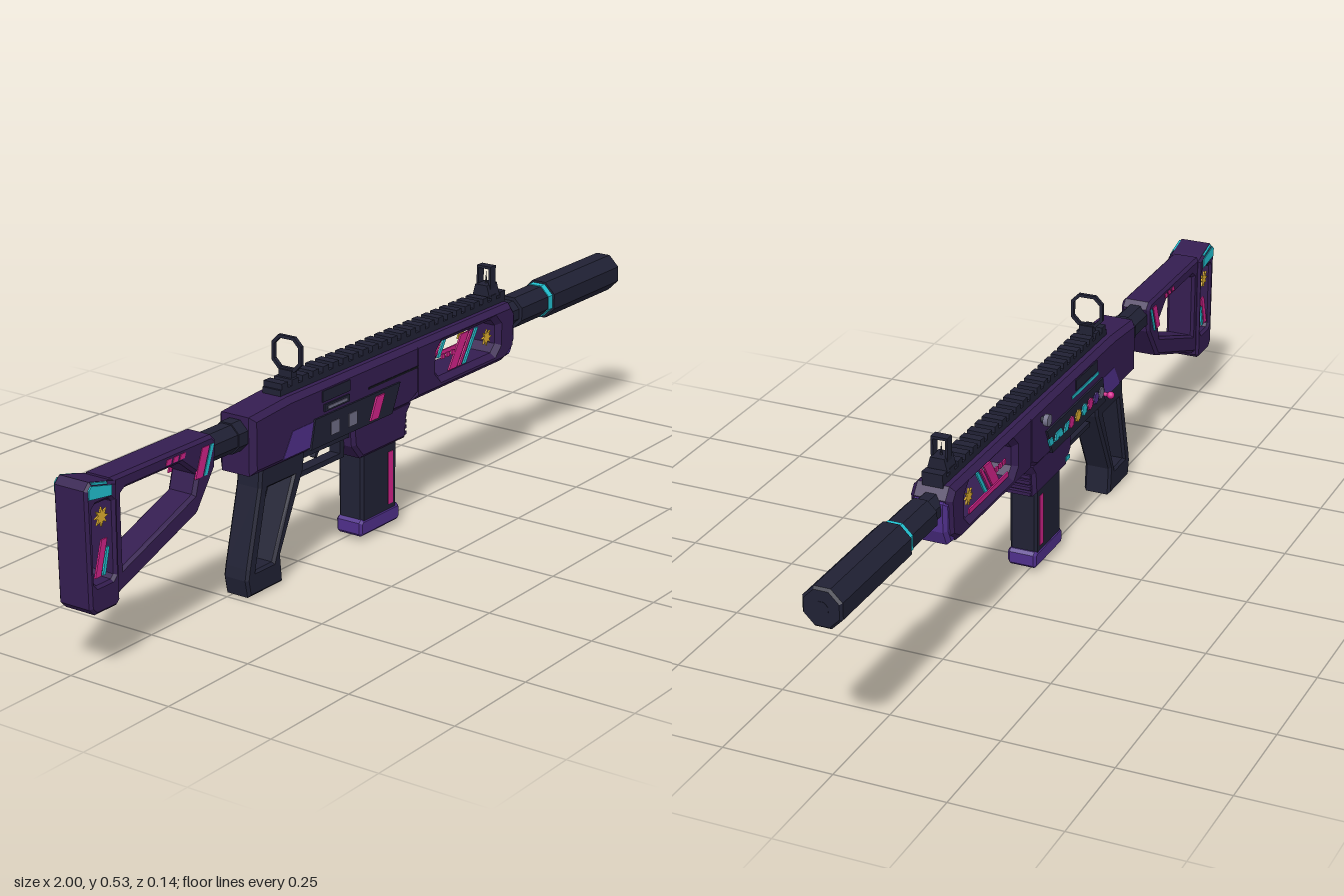
import * as THREE from 'three';

const mat = (name, color) => Object.assign(new THREE.MeshStandardMaterial({ color }), { name });

export function createModel() {
  const charcoal = mat('charcoal', 0x202134), black = mat('black', 0x12121b);
  const purple = mat('dark purple', 0x341d50), violet = mat('violet', 0x4f2f8a);
  const magenta = mat('magenta', 0xd2228a), teal = mat('teal', 0x22c2d2);
  const gold = mat('gold', 0xe0b030), grey = mat('grey', 0x6f6d86);

  const root = new THREE.Group();
  root.name = 'rifle';
  const model = new THREE.Group();
  model.name = 'body';
  model.position.z = 0.0125;
  root.add(model);

  const add = (name, geo, m, x = 0, y = 0, z = 0) => {
    const mesh = new THREE.Mesh(geo, m);
    mesh.name = name;
    mesh.position.set(x, y, z);
    model.add(mesh);
    return mesh;
  };
  // Counter-clockwise corner list, so that walls and holes face the right way
  const outline = (pts) => {
    const v = pts.map(([x, y]) => new THREE.Vector2(x, y));
    return THREE.ShapeUtils.isClockWise(v) ? v.reverse() : v;
  };
  const extrude = (pts, depth, bevel = 0, holes = []) => {
    const shape = new THREE.Shape(outline(pts));
    holes.forEach((h) => shape.holes.push(new THREE.Path(outline(h))));
    const g = new THREE.ExtrudeGeometry(shape, {
      depth: depth - 2 * bevel, bevelEnabled: bevel > 0, bevelSize: bevel,
      bevelThickness: bevel, bevelOffset: -bevel, bevelSegments: 1,
    });
    return g.translate(0, 0, bevel - depth / 2);
  };
  // Side profile of the given half width, chamfered
  const slab = (name, m, pts, half, bevel, holes) => add(name, extrude(pts, half * 2, bevel, holes), m);
  // Thin plate on the sides listed (+1 front, -1 back)
  const decal = (name, m, pts, z, sides = [1, -1], depth = 0.004) =>
    sides.forEach((s) => add(name, extrude(pts, depth), m, 0, 0, s * z));
  const box = (name, m, x0, x1, y0, y1, half, z = 0) =>
    add(name, new THREE.BoxGeometry(x1 - x0, y1 - y0, half * 2), m, (x0 + x1) / 2, (y0 + y1) / 2, z);
  const rect = (x0, x1, y0, y1, lean = 0) => [[x0, y0], [x1, y0], [x1 + lean, y1], [x0 + lean, y1]];
  const chamfered = (x0, x1, y0, y1, c) => [[x0 + c, y0], [x1 - c, y0], [x1, y0 + c], [x1, y1 - c],
    [x1 - c, y1], [x0 + c, y1], [x0, y1 - c], [x0, y0 + c]];
  const star = (cx, cy, r, inner = 0.5) => Array.from({ length: 16 }, (_, i) => {
    const a = (i * Math.PI) / 8, d = i % 2 ? r * inner : r;
    return [cx + d * Math.cos(a), cy + d * Math.sin(a)];
  });
  // Octagonal rod along x, measured across flats
  const rod = (name, m, x0, x1, y, r0, r1 = r0) => {
    const k = Math.cos(Math.PI / 8);
    const g = new THREE.CylinderGeometry(r1 / k, r0 / k, x1 - x0, 8, 1, false, Math.PI / 8).toNonIndexed();
    g.computeVertexNormals();
    return add(name, g.rotateZ(-Math.PI / 2), m, (x0 + x1) / 2, y, 0);
  };

  // Barrel and suppressor
  rod('barrel', charcoal, 0.5, 0.58, 0.37, 0.029);
  rod('suppressorRear', charcoal, 0.565, 0.68, 0.37, 0.037);
  rod('suppressorRing', teal, 0.68, 0.697, 0.37, 0.039);
  rod('suppressorBody', charcoal, 0.697, 0.993, 0.37, 0.044);
  rod('suppressorTip', charcoal, 0.993, 0.999, 0.37, 0.044, 0.039);
  rod('bore', charcoal, 0.99, 1, 0.37, 0.015);

  // Handguard with an open window
  slab('handguard', purple, [[0.11, 0.28], [0.48, 0.28], [0.52, 0.305], [0.525, 0.39], [0.505, 0.415], [0.11, 0.415]],
    0.048, 0.012, [chamfered(0.2, 0.45, 0.31, 0.39, 0.018)]);
  slab('handguardNose', violet, [[0.49, 0.282], [0.515, 0.285], [0.532, 0.32], [0.532, 0.385], [0.49, 0.4]], 0.041, 0.008);
  decal('windowStripe', magenta, rect(0.258, 0.29, 0.313, 0.387, 0.05), 0.036);
  decal('windowStripe', magenta, rect(0.298, 0.308, 0.313, 0.387, 0.05), 0.036);
  decal('windowStripe', teal, rect(0.317, 0.328, 0.313, 0.387, 0.05), 0.036);
  decal('windowStar', gold, star(0.415, 0.352, 0.02), 0.036);
  [0.23, 0.25, 0.27].forEach((x) => decal('windowDot', magenta, rect(x, x + 0.012, 0.347, 0.358), 0.036));
  decal('windowUnderline', magenta, rect(0.225, 0.42, 0.314, 0.325), 0.039, [-1]);

  // Receiver
  slab('receiver', purple, [[-0.48, 0.275], [0.09, 0.275], [0.13, 0.295], [0.13, 0.415], [-0.35, 0.415], [-0.48, 0.405]], 0.048, 0.012);
  box('lowerReceiver', charcoal, -0.285, -0.115, 0.258, 0.28, 0.03);
  decal('receiverPanel', violet, [[-0.38, 0.285], [-0.285, 0.285], [-0.27, 0.34], [-0.345, 0.34]], 0.047);
  decal('darkPanel', charcoal, [[-0.285, 0.28], [0.015, 0.28], [0.045, 0.345], [-0.27, 0.345]], 0.048, [1, -1], 0.009);
  [-0.2, -0.135].forEach((x) => decal('button', grey, rect(x - 0.015, x + 0.015, 0.295, 0.325), 0.0525, [1]));
  decal('panelMark', magenta, rect(-0.073, -0.043, 0.287, 0.337, 0.024), 0.0545, [1]);
  box('ejectionPort', charcoal, -0.24, -0.14, 0.375, 0.4, 0.003, 0.047);
  box('boltHandle', charcoal, -0.235, -0.145, 0.353, 0.369, 0.005, 0.047);
  decal('boltHandleFace', grey, rect(-0.225, -0.155, 0.357, 0.364), 0.052, [1]);
  box('sideSeam', black, -0.07, 0.12, 0.358, 0.363, 0.002, 0.047);
  box('backCover', charcoal, -0.24, -0.12, 0.375, 0.4, 0.004, -0.047);
  decal('tealLine', teal, rect(-0.25, -0.1, 0.361, 0.369), 0.048, [-1]);

  // Row of coloured marks on the back panel
  [0.026, 0, -0.026, -0.052].forEach((x, i) =>
    decal('panelWave', teal, rect(x - 0.012, x + 0.008, 0.304, 0.322, i % 2 ? -0.008 : 0.008), 0.0535, [-1]));
  [[-0.085, magenta], [-0.123, gold], [-0.158, teal], [-0.192, magenta], [-0.226, violet], [-0.256, grey]]
    .forEach(([x, m]) => decal('panelDot', m, star(x, 0.313, 0.015, 0.8), 0.0535, [-1]));

  // Controls on the back side
  const stem = (name, m, x, y, z0, z1, r) =>
    add(name, new THREE.CylinderGeometry(r, r, z1 - z0, 10).rotateX(Math.PI / 2), m, x, y, (z0 + z1) / 2);
  stem('leverStem', magenta, -0.27, 0.305, -0.072, -0.04, 0.005);
  add('leverKnob', new THREE.SphereGeometry(0.009, 12, 8), magenta, -0.27, 0.305, -0.0715);
  stem('chargingStem', charcoal, 0.065, 0.383, -0.062, -0.04, 0.007);
  stem('chargingKnob', grey, 0.065, 0.383, -0.067, -0.056, 0.014);

  // Magazine well, with ribs on its front
  slab('magazineWell', purple, [[-0.12, 0.285], [-0.115, 0.235], [-0.085, 0.2], [0.085, 0.2], [0.09, 0.255], [0.11, 0.285]], 0.042, 0.008);
  for (let i = 0; i < 4; i++) box('wellRib', purple, 0.08, 0.096, 0.205 + i * 0.014, 0.213 + i * 0.014, 0.034);
  decal('wellMark', teal, rect(-0.1, -0.08, 0.215, 0.225), 0.042, [-1]);

  // Magazine
  slab('magazine', charcoal, rect(-0.073, 0.06, 0.04, 0.21), 0.033, 0.006);
  slab('magazineBase', violet, chamfered(-0.08, 0.07, 0.01, 0.05, 0.007), 0.035, 0.006);
  decal('magazineStripe', magenta, rect(0.026, 0.043, 0.058, 0.182), 0.0325);

  // Open-frame grip
  slab('grip', charcoal, [[-0.435, 0.28], [-0.28, 0.28], [-0.285, 0.235], [-0.368, 0.065], [-0.362, 0], [-0.48, 0],
    [-0.488, 0.04], [-0.483, 0.065], [-0.44, 0.235]], 0.033, 0.006,
  [[[-0.412, 0.228], [-0.322, 0.228], [-0.396, 0.055], [-0.455, 0.055]]]);

  // Trigger and guard
  box('triggerGuard', charcoal, -0.285, -0.115, 0.208, 0.22, 0.014);
  box('guardPost', charcoal, -0.13, -0.115, 0.21, 0.28, 0.014);
  slab('trigger', charcoal, [[-0.21, 0.28], [-0.19, 0.28], [-0.193, 0.25], [-0.207, 0.23], [-0.213, 0.234], [-0.204, 0.252]], 0.007, 0);

  // Stock: tube, frame and butt
  rod('stockTube', charcoal, -0.62, -0.47, 0.362, 0.031);
  rod('tubeCollar', charcoal, -0.51, -0.475, 0.362, 0.034);
  slab('stockFrame', purple, [[-0.915, 0.402], [-0.6, 0.402], [-0.585, 0.387], [-0.59, 0.33], [-0.65, 0.245], [-0.9, 0.152], [-0.915, 0.152]],
    0.036, 0.007, [[[-0.885, 0.36], [-0.872, 0.369], [-0.7, 0.369], [-0.65, 0.33], [-0.662, 0.29], [-0.885, 0.205]]]);
  slab('stockButt', purple, [[-1, 0.4], [-0.985, 0.415], [-0.93, 0.402], [-0.905, 0.395], [-0.905, 0.145], [-0.915, 0.135], [-0.98, 0.135], [-0.995, 0.15]],
    0.043, 0.006, [chamfered(-0.98, -0.92, 0.195, 0.365, 0.008)]);
  decal('buttCap', teal, [[-0.993, 0.381], [-0.925, 0.372], [-0.925, 0.394], [-0.985, 0.408], [-0.993, 0.4]], 0.043);
  box('buttTopCap', teal, -0.982, -0.935, 0.4, 0.408, 0.042).rotation.z = -0.23;
  decal('buttStar', gold, star(-0.95, 0.333, 0.021), 0.036);
  decal('buttStripe', magenta, rect(-0.974, -0.957, 0.21, 0.285, 0.022), 0.036);
  decal('buttStripe', teal, rect(-0.951, -0.943, 0.21, 0.265, 0.014), 0.036);
  [-0.75, -0.728, -0.706].forEach((x) => decal('stockDash', magenta, rect(x, x + 0.015, 0.379, 0.39, 0.004), 0.0355));
  decal('stockStripe', magenta, rect(-0.658, -0.636, 0.322, 0.384, 0.024), 0.0355);
  decal('stockStripe', teal, rect(-0.63, -0.62, 0.322, 0.384, 0.024), 0.0355);

  // Top rail
  box('rail', charcoal, -0.355, 0.51, 0.41, 0.428, 0.024);
  for (let i = 0; i < 24; i++) box('railTooth', charcoal, -0.35 + i * 0.0365, -0.328 + i * 0.0365, 0.425, 0.441, 0.024);

  // Cross-section extruded along x
  const across = (name, m, pts, x, depth, holes) =>
    add(name, extrude(pts, depth, 0, holes).rotateY(Math.PI / 2), m, x, 0, 0);

  // Rear ring sight
  box('rearSightBase', charcoal, -0.307, -0.289, 0.435, 0.457, 0.017);
  across('rearSightRing', charcoal, chamfered(-0.039, 0.039, 0.454, 0.531, 0.018), -0.298, 0.009,
    [chamfered(-0.032, 0.032, 0.461, 0.524, 0.015)]);

  // Front post sight
  across('frontSightBase', charcoal, [[-0.024, 0.435], [0.024, 0.435], [0.016, 0.465], [-0.016, 0.465]], 0.466, 0.042);
  across('frontSightFrame', charcoal, rect(-0.019, 0.019, 0.455, 0.508), 0.466, 0.022, [rect(-0.014, 0.014, 0.463, 0.502)]);
  add('frontPost', new THREE.ConeGeometry(0.004, 0.035, 6), charcoal, 0.466, 0.476, 0);

  return root;
}
